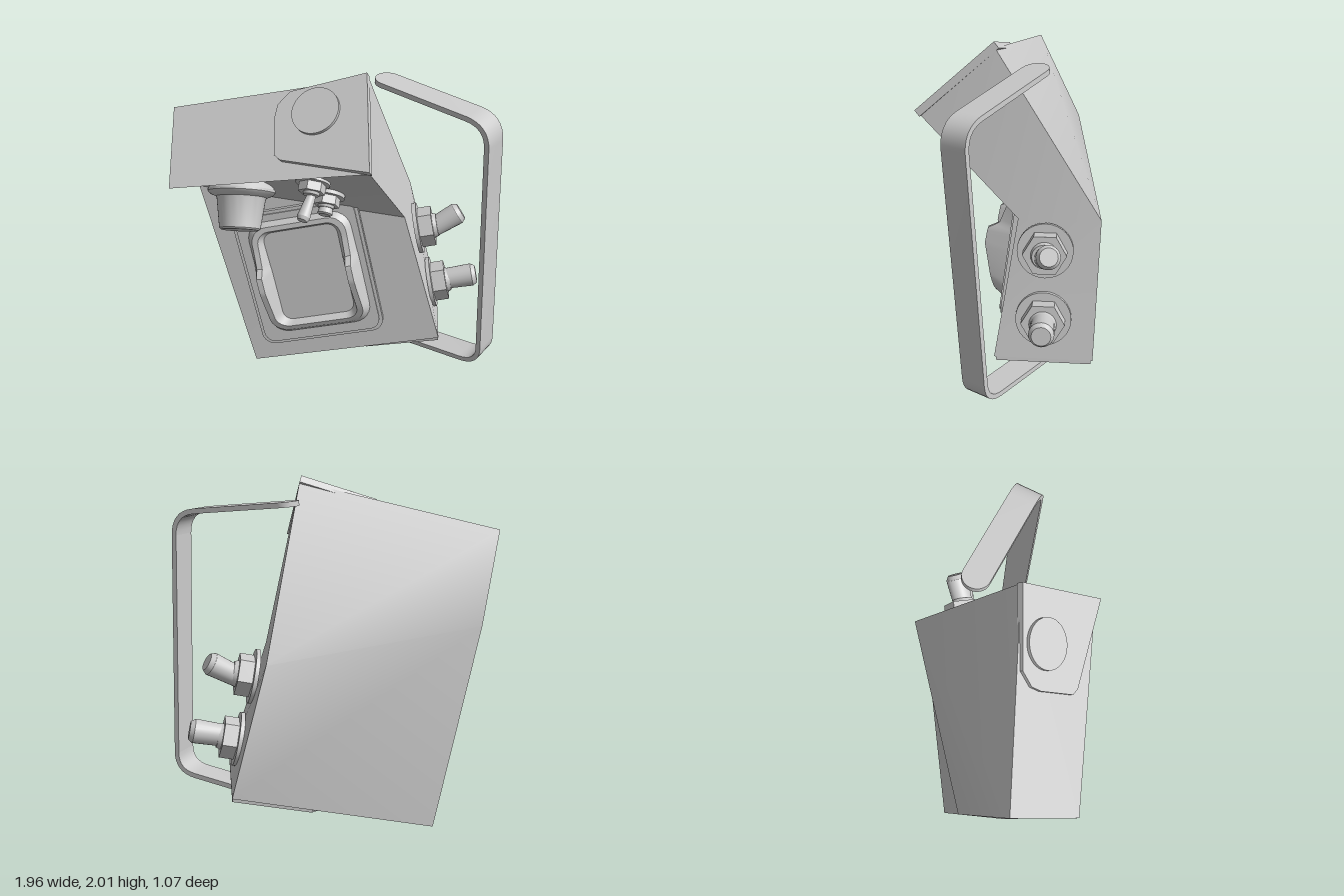
import * as THREE from 'three';
import { toCreasedNormals } from 'three/addons/utils/BufferGeometryUtils.js';

const mat = new THREE.MeshStandardMaterial({ color: 0xcccccc, side: THREE.DoubleSide });
const V = (x, y, z) => new THREE.Vector3(x, y, z);

function add(parent, name, geometry, x = 0, y = 0, z = 0) {
  const m = new THREE.Mesh(geometry, mat);
  m.name = name;
  m.position.set(x, y, z);
  parent.add(m);
  return m;
}

// Group whose local z is the face normal and local x runs along u
function faceGroup(parent, name, origin, normal, u) {
  const z = normal.clone().normalize();
  const x = u.clone().addScaledVector(z, -u.dot(z)).normalize();
  const g = new THREE.Group();
  g.name = name;
  g.quaternion.setFromRotationMatrix(new THREE.Matrix4().makeBasis(x, z.clone().cross(x), z));
  g.position.copy(origin);
  parent.add(g);
  return g;
}

// Group whose local y points along the given axis
function axisGroup(parent, name, origin, axis) {
  const g = new THREE.Group();
  g.name = name;
  g.position.copy(origin);
  g.quaternion.setFromUnitVectors(V(0, 1, 0), axis.clone().normalize());
  parent.add(g);
  return g;
}

// Lathe from [radius, height] pairs
function lathe(profile, sides) {
  const g = new THREE.LatheGeometry(profile.map(p => new THREE.Vector2(...p)), sides);
  return toCreasedNormals(g, 0.5);
}

const extrude = (pts, depth) => new THREE.ExtrudeGeometry(
  new THREE.Shape(pts.map(p => new THREE.Vector2(p[0], p[1]))), { depth, bevelEnabled: false });

// Rounded rectangle loop with evenly divided sides
function roundedLoop(w, h, r, cx, cy) {
  const pts = [], n = 6, m = 24;
  const corners = [[1, 1], [-1, 1], [-1, -1], [1, -1]];
  const at = (k, i) => {
    const a = (k + i / n) * Math.PI / 2, [sx, sy] = corners[k % 4];
    return [cx + sx * (w / 2 - r) + r * Math.cos(a), cy + sy * (h / 2 - r) + r * Math.sin(a)];
  };
  for (let k = 0; k < 4; k++) {
    for (let i = 0; i < n; i++) pts.push(at(k, i));
    const p = at(k, n), q = at((k + 1) % 4, 0);
    for (let i = 0; i < m; i++) pts.push([p[0] + (q[0] - p[0]) * i / m, p[1] + (q[1] - p[1]) * i / m]);
  }
  return pts;
}

// Bent housing: matching end profiles joined by quads, smooth over the back bend
function housing() {
  const R = [[.64, .265, .06], [.64, .265, -.51], [.43, 1.07, -.53], [.175, 1.975, .085], [.205, 1.585, .51], [.4, 1.05, -.06]];
  const L = [[-.54, 0, .005], [-.54, 0, -.51], [-.82, 1.2, -.38], [-.98, 1.7, -.11], [-.95, 1.35, .27], [-.87, 1.18, -.14]];
  const pos = [];
  const tri = (a, b, c) => pos.push(...a, ...b, ...c);
  for (const [a, b, c] of [[0, 1, 2], [0, 2, 5], [5, 2, 3], [5, 3, 4]]) {
    tri(R[a], R[b], R[c]);
    tri(L[c], L[b], L[a]);
  }
  for (let i = 0; i < 6; i++) {
    const j = (i + 1) % 6;
    tri(L[i], L[j], R[i]);
    tri(L[j], R[j], R[i]);
  }
  const g = new THREE.BufferGeometry();
  g.setAttribute('position', new THREE.Float32BufferAttribute(pos, 3));
  return toCreasedNormals(g, 0.8);
}

// Guard rim: four loops swept around, with a height that steps along its sides
function guardRim() {
  const steps = [[-.32, .07], [-.2, .12], [0, .18], [.1, .175], [.14, .11], [.25, .08], [.42, .06]];
  const height = v => {
    const i = Math.max(1, steps.findIndex(s => v <= s[0]));
    const [a, ha] = steps[i - 1], [b, hb] = steps[i];
    return THREE.MathUtils.mapLinear(Math.max(v, a), a, b, ha, hb);
  };
  const rings = [[.67, .77, .12, 0], [.6, .7, .1, 1], [.53, .64, .08, 1], [.46, .59, .06, 0]]
    .map(([w, h, r, top]) => roundedLoop(w, h, r, .03, .04).map(([x, y]) => [x, y, top ? height(y) : .02]));
  const n = rings[0].length, idx = [];
  for (let k = 0; k < 3; k++) for (let i = 0; i < n; i++) {
    const a = k * n + i, b = k * n + (i + 1) % n;
    idx.push(a, b, b + n, a, b + n, a + n);
  }
  const g = new THREE.BufferGeometry();
  g.setAttribute('position', new THREE.Float32BufferAttribute(rings.flat(2), 3));
  g.setIndex(idx);
  return toCreasedNormals(g, 0.6);
}

// Flat strap bent into a U, centred on its long run
function strap(parent) {
  const g = faceGroup(parent, 'handle', V(.895, .98, .18), V(-.54, -.07, .84), V(.845, 0, .535));
  const P = (x, y) => new THREE.Vector2(x, y), w = .16, t = .015;
  const ends = [P(-.69, .905), P(-.71, -.85)];
  const path = new THREE.CurvePath();
  path.add(new THREE.LineCurve(ends[0], P(-.13, .83)));
  path.add(new THREE.QuadraticBezierCurve(P(-.13, .83), P(0, .81), P(0, .68)));
  path.add(new THREE.LineCurve(P(0, .68), P(0, -.68)));
  path.add(new THREE.QuadraticBezierCurve(P(0, -.68), P(0, -.8), P(-.13, -.81)));
  path.add(new THREE.LineCurve(P(-.13, -.81), ends[1]));
  const mid = path.curves.flatMap((c, k) => {
    const s = k % 2 ? 8 : 1;
    return Array.from({ length: s + 1 }, (_, i) => [c.getPoint(i / s), c.getTangent(i / s)]);
  });
  const side = d => mid.map(([p, q]) => [p.x - q.y * d, p.y + q.x * d]);
  add(g, 'handleStrap', toCreasedNormals(extrude([...side(t), ...side(-t).reverse()], w), 0.5), 0, 0, -w / 2);
  // Rounded strap ends
  ends.forEach((e, i) => {
    const cap = add(g, 'handleEnd', new THREE.CylinderGeometry(w / 2, w / 2, 2 * t, 32), e.x, e.y, 0);
    cap.rotation.z = i ? .069 : -.133;
  });
}

// Washer, hex nut and collar shared by all switches
function nutStack(parent, name, origin, axis, s) {
  const g = axisGroup(parent, name, origin, axis);
  add(g, 'washer', new THREE.CylinderGeometry(.16 * s, .16 * s, .025, 32), 0, .012, 0);
  add(g, 'nut', new THREE.CylinderGeometry(.125 * s, .125 * s, .09 * s, 6).toNonIndexed(), 0, .02 + .045 * s, 0)
    .geometry.computeVertexNormals();
  add(g, 'collar', new THREE.CylinderGeometry(.07 * s, .08 * s, .03 * s, 24), 0, .02 + .1 * s, 0);
}

function lever(parent, name, from, to, r0, r1) {
  const len = from.distanceTo(to);
  const g = axisGroup(parent, name, from, to.clone().sub(from));
  add(g, 'stem', lathe([[0, 0], [r0, 0], [r1, len * .88], [r1 * .75, len], [0, len]], 20));
}

export function createModel() {
  const model = new THREE.Group();
  model.name = 'controlBox';
  add(model, 'housing', housing());

  // Handle mounts on the top and bottom faces
  const disc = () => new THREE.CylinderGeometry(.14, .14, .03, 40).rotateX(Math.PI / 2);
  const top = faceGroup(model, 'topMount', V(-.1, 1.772, .186), V(-.3, .7, .65), V(.95, .25, .17));
  add(top, 'topMountPlate', extrude([[-.25, .04], [-.235, .11], [-.16, .18], [.295, .215], [.31, -.385], [-.21, -.235], [-.245, -.2]], .045), 0, 0, -.02);
  add(top, 'topMountDisc', disc(), 0, .025, .03);
  const bottom = faceGroup(model, 'bottomMount', V(.37, .212, -.28), V(.215, -.976, 0), V(.976, .215, 0));
  add(bottom, 'bottomMountPlate', extrude([[-.27, -.16], [-.2, -.22], [.27, -.22], [.27, .33], [-.2, .29], [-.27, .22]], .03));
  add(bottom, 'bottomMountDisc', disc(), 0, 0, .035);
  strap(model);

  // Window frame and guard on the front face
  const front = faceGroup(model, 'frontWindow', V(-.2, .62, -.03), V(-.074, .105, .99), V(.97, .235, .05));
  add(front, 'windowPlate', extrude(roundedLoop(.8, .9, .08, .02, .03), .03), 0, 0, -.01);
  add(front, 'windowStep', extrude(roundedLoop(.76, .86, .07, .02, .03), .04), 0, 0, -.01);
  add(front, 'windowGuard', guardRim());

  // Switches on the end face
  nutStack(model, 'upperSwitchBase', V(.475, .895, -.22), V(.97, .22, 0), 1);
  lever(model, 'upperSwitchLever', V(.56, .89, -.22), V(.75, 1.01, -.25), .06, .068);
  nutStack(model, 'lowerSwitchBase', V(.575, .505, -.22), V(.97, .22, 0), 1);
  lever(model, 'lowerSwitchLever', V(.65, .53, -.22), V(.87, .58, -.22), .065, .072);

  // Knob and small switches under the overhang
  const knob = axisGroup(model, 'knob', V(-.57, 1.26, .055), V(0, -.85, .53));
  add(knob, 'knobBody', lathe([[0, -.04], [.17, -.04], [.2, .005], [.2, .02], [.185, .035], [.15, .05], [.145, .06], [.122, .235], [.112, .245], [0, .245]], 40));
  const under = V(-.1, -.74, .67);
  nutStack(model, 'toggleBase', V(-.12, 1.43, .265), under, .62);
  lever(model, 'toggleLever', V(-.125, 1.36, .3), V(-.17, 1.25, .42), .025, .038);
  nutStack(model, 'buttonBase', V(-.05, 1.28, .12), under, .62);
  lever(model, 'button', V(-.055, 1.23, .16), V(-.065, 1.18, .205), .035, .045);
  return model;
}
